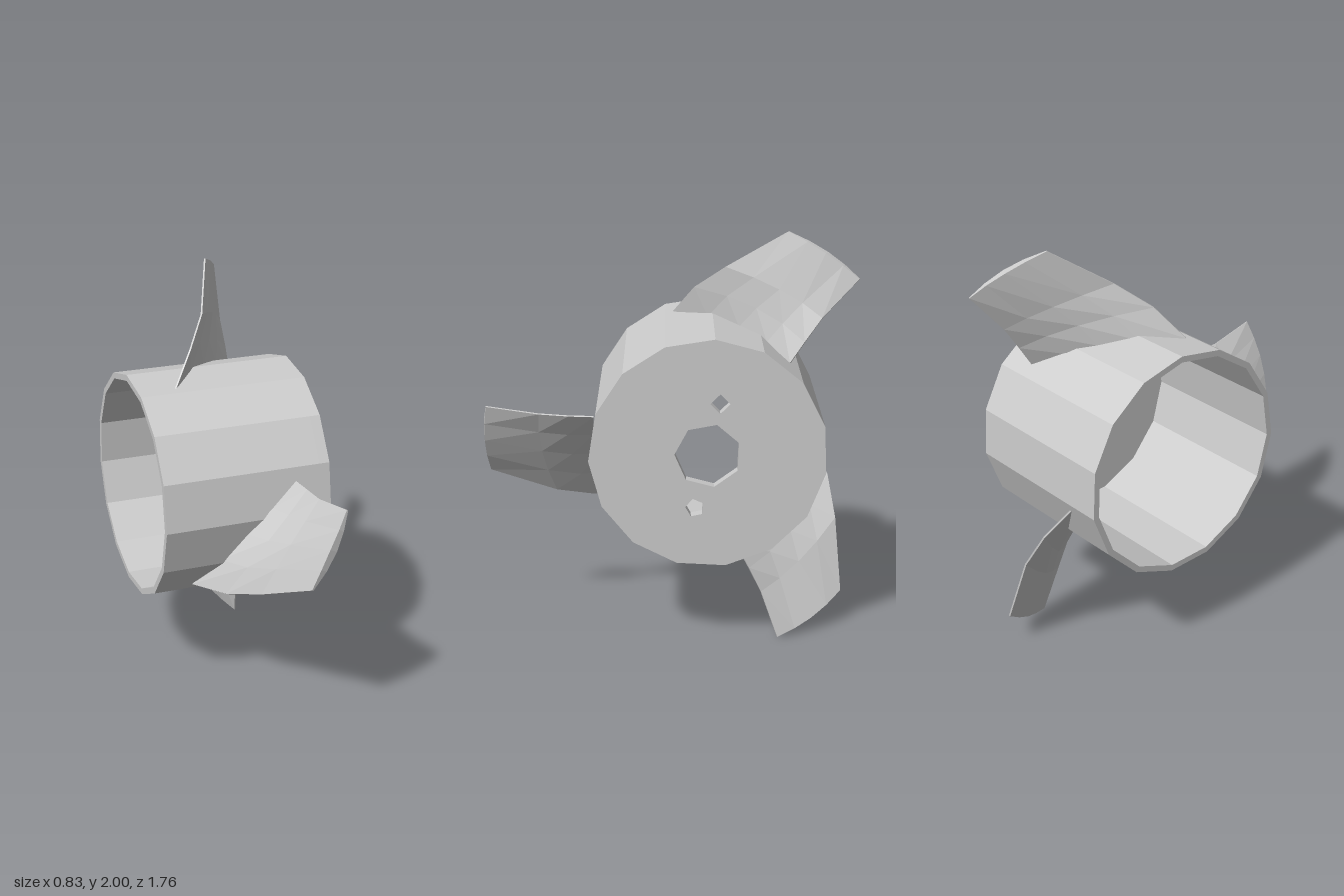
import * as THREE from 'three';

const R = 0.56, WALL = 0.03, LEN = 0.83, CAP = 0.05, SIDES = 15;
const CENTRE = new THREE.Vector3(0, 1.015, -0.18);

const material = new THREE.MeshStandardMaterial({ color: 0xcccccc, flatShading: true });

// Regular polygon as a list of points
function polygon(sides, radius, phase, cx = 0, cy = 0) {
  return Array.from({ length: sides }, (_, i) => {
    const a = THREE.MathUtils.degToRad(phase) + (i / sides) * Math.PI * 2;
    return new THREE.Vector2(cx + radius * Math.cos(a), cy + radius * Math.sin(a));
  });
}

// Polygon plate with holes, extruded along x
function plate(name, holes, x, depth) {
  const shape = new THREE.Shape(polygon(SIDES, R, -9));
  for (const h of holes) shape.holes.push(new THREE.Path(h));
  const geometry = new THREE.ExtrudeGeometry(shape, { depth, bevelEnabled: false });
  geometry.rotateY(Math.PI / 2).translate(x, 0, 0);
  const mesh = new THREE.Mesh(geometry, material);
  mesh.name = name;
  return mesh;
}

// Blade: leading edge, mid line and trailing edge from root to tip
const LEADING = [[-0.23, 0.61, 0.2], [-0.12, 0.625, 0.38], [-0.01, 0.69, 0.56], [0.11, 0.84, 0.87]];
const MIDDLE = [[0.01, 0.9, 0.35], [0.065, 0.915, 0.48], [0.12, 0.95, 0.62], [0.2, 1.03, 0.885]];
const TRAILING = [[0.24, 1.15, 0.36], [0.245, 1.155, 0.48], [0.245, 1.165, 0.62], [0.27, 1.21, 0.865]];
const HALF_THICKNESS = [0.004, 0.016, 0.02, 0.014, 0.004];

function bladeGeometry() {
  const vec = (p) => new THREE.Vector3(...p).sub(CENTRE);
  const n = HALF_THICKNESS.length, ring = 2 * n;
  const positions = [], index = [];

  LEADING.forEach((p, i) => {
    const l = vec(p), m = vec(MIDDLE[i]), t = vec(TRAILING[i]);
    const lo = Math.max(i - 1, 0), hi = Math.min(i + 1, LEADING.length - 1);
    const span = vec(MIDDLE[hi]).sub(vec(MIDDLE[lo]));
    const normal = t.clone().sub(l).cross(span).normalize();
    // Chord curve through the three guide points
    const chord = HALF_THICKNESS.map((_, j) => {
      const u = j / (n - 1);
      return new THREE.Vector3()
        .addScaledVector(l, 2 * (u - 0.5) * (u - 1))
        .addScaledVector(m, 4 * u * (1 - u))
        .addScaledVector(t, 2 * u * (u - 0.5));
    });
    for (let j = 0; j < ring; j++) {
      const k = j < n ? j : ring - 1 - j;
      const q = chord[k].clone().addScaledVector(normal, (j < n ? 1 : -1) * HALF_THICKNESS[k]);
      positions.push(q.x, q.y, q.z);
    }
  });

  // Skin between sections
  for (let i = 0; i < LEADING.length - 1; i++) {
    for (let j = 0; j < ring; j++) {
      const a = i * ring + j, b = i * ring + ((j + 1) % ring);
      index.push(a, b, a + ring, b, b + ring, a + ring);
    }
  }
  // Close root and tip
  const tip = (LEADING.length - 1) * ring;
  for (let j = 0; j < n - 1; j++) {
    const a = j, b = j + 1, c = ring - 2 - j, d = ring - 1 - j;
    index.push(tip + a, tip + b, tip + c, tip + a, tip + c, tip + d);
    index.push(a, c, b, a, d, c);
  }

  const indexed = new THREE.BufferGeometry();
  indexed.setAttribute('position', new THREE.Float32BufferAttribute(positions, 3));
  indexed.setIndex(index);
  const geometry = indexed.toNonIndexed();
  geometry.computeVertexNormals();
  return geometry;
}

export function createModel() {
  const model = new THREE.Group();
  model.name = 'propeller';
  const rotor = new THREE.Group();
  rotor.name = 'rotor';
  rotor.position.copy(CENTRE);
  model.add(rotor);

  // Hollow hub, open at one end
  rotor.add(plate('hubWall', [polygon(SIDES, R - WALL, -9)], -LEN / 2, LEN - CAP));

  // End plate with shaft hole and two pin holes
  rotor.add(plate('hubEndPlate', [
    polygon(7, 0.157, 75),
    polygon(4, 0.047, 90, 0.055, 0.252),
    polygon(5, 0.046, 30, -0.06, -0.26),
  ], LEN / 2 - CAP, CAP));

  // Three blades around the hub
  const geometry = bladeGeometry();
  for (let i = 0; i < 3; i++) {
    const blade = new THREE.Mesh(geometry, material);
    blade.name = `blade${i + 1}`;
    blade.rotation.x = (i * Math.PI * 2) / 3;
    rotor.add(blade);
  }
  return model;
}
